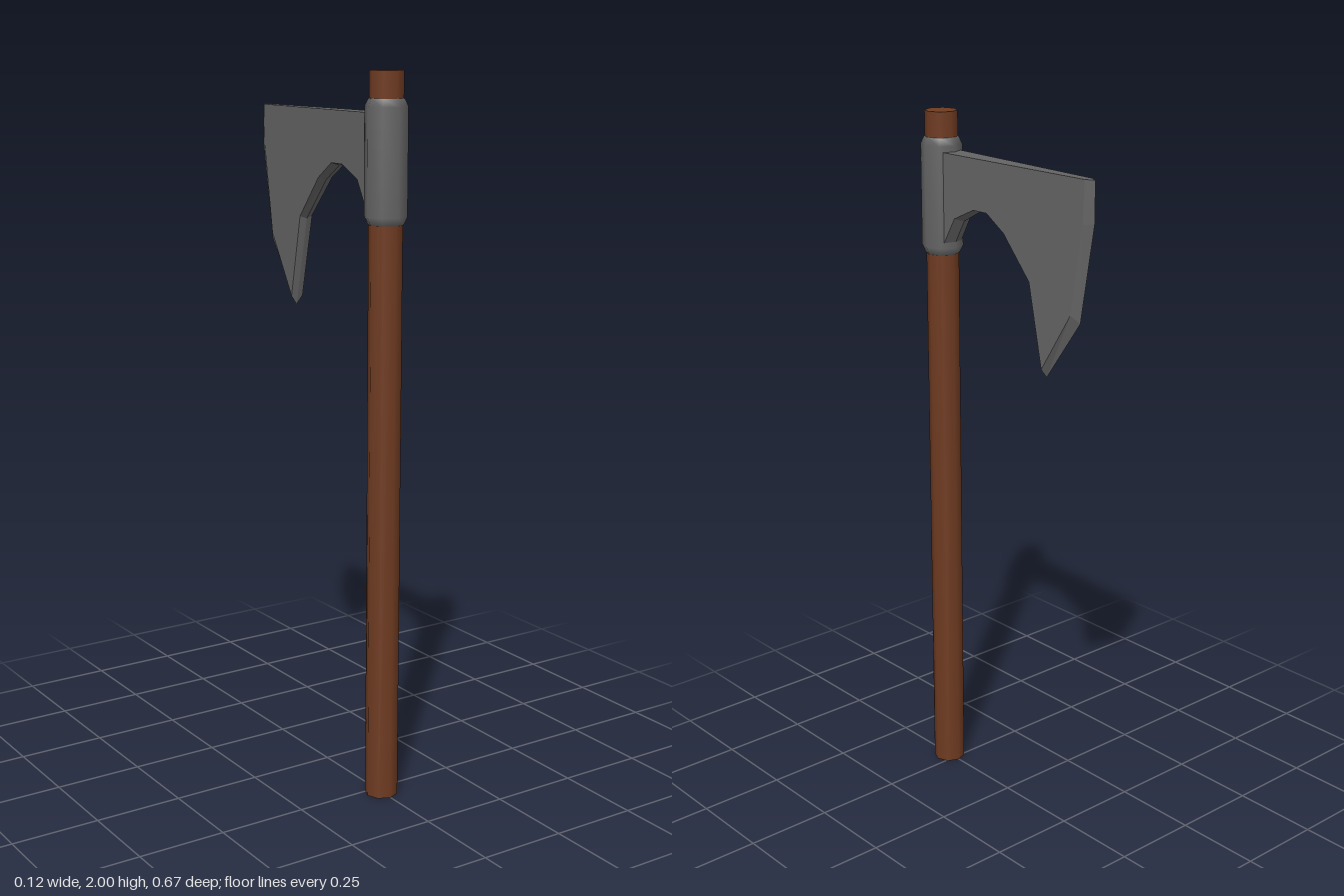
import * as THREE from 'three';

const wood = new THREE.MeshStandardMaterial({ color: 0x6f3b21 });
wood.name = 'wood';
const steel = new THREE.MeshStandardMaterial({ color: 0x646464 });
steel.name = 'steel';

const SHAFT_Z = 0.277;

// Blade outline as [face z, face y, rim z, rim y]; the rim lies on the mid plane
const bladeOutline = [
  // straight top
  [0.25, 1.892, 0.25, 1.892],
  // cutting edge, with a bevel between face and rim
  [-0.308, 1.892, -0.334, 1.892],
  [-0.304, 1.775, -0.334, 1.78],
  [-0.264, 1.53, -0.287, 1.51],
  [-0.157, 1.36, -0.159, 1.335],
  // hollow underside
  [-0.108, 1.592, -0.104, 1.585],
  [-0.009, 1.707, -0.005, 1.7],
  [0.058, 1.751, 0.06, 1.744],
  [0.112, 1.751, 0.11, 1.744],
  [0.188, 1.716, 0.182, 1.706],
  [0.25, 1.61, 0.238, 1.61],
];

// Half thickness tapers evenly from the socket to the cutting edge
const halfThickness = (z) => 0.0135 + 0.018 * (z + 0.31) / 0.545;

function bladeGeometry() {
  const positions = [];
  const outline = bladeOutline.map(([z, y]) => new THREE.Vector2(z, y));
  const faces = THREE.ShapeUtils.triangulateShape(outline, []);
  for (const side of [-1, 1]) {
    const face = bladeOutline.map(([z, y]) => [side * halfThickness(z), y, z]);
    const rim = bladeOutline.map(([, , z, y]) => [0, y, z]);
    const addTriangle = (a, b, c) =>
      positions.push(...a, ...(side < 0 ? b : c), ...(side < 0 ? c : b));
    for (const [a, b, c] of faces) addTriangle(face[a], face[b], face[c]);
    for (let i = 0; i < face.length; i++) {
      const j = (i + 1) % face.length;
      addTriangle(face[i], rim[i], rim[j]);
      addTriangle(face[i], rim[j], face[j]);
    }
  }
  const geometry = new THREE.BufferGeometry();
  geometry.setAttribute('position', new THREE.Float32BufferAttribute(positions, 3));
  geometry.computeVertexNormals();
  return geometry;
}

export function createModel() {
  const group = new THREE.Group();
  group.name = 'axe';
  const add = (name, geometry, material, y, z) => {
    const mesh = new THREE.Mesh(geometry, material);
    mesh.name = name;
    mesh.position.set(0, y, z);
    group.add(mesh);
  };

  // Eight-sided shaft
  add('handle', new THREE.CylinderGeometry(0.046, 0.046, 2, 8), wood, 1, SHAFT_Z);

  // Socket around the shaft with chamfered ends
  const profile = [
    [0.044, 1.604], [0.048, 1.604], [0.058, 1.625],
    [0.058, 1.908], [0.048, 1.929], [0.044, 1.929],
  ].map(([r, y]) => new THREE.Vector2(r, y));
  add('socket', new THREE.LatheGeometry(profile, 8), steel, 0, SHAFT_Z);

  add('blade', bladeGeometry(), steel, 0, 0);
  return group;
}
